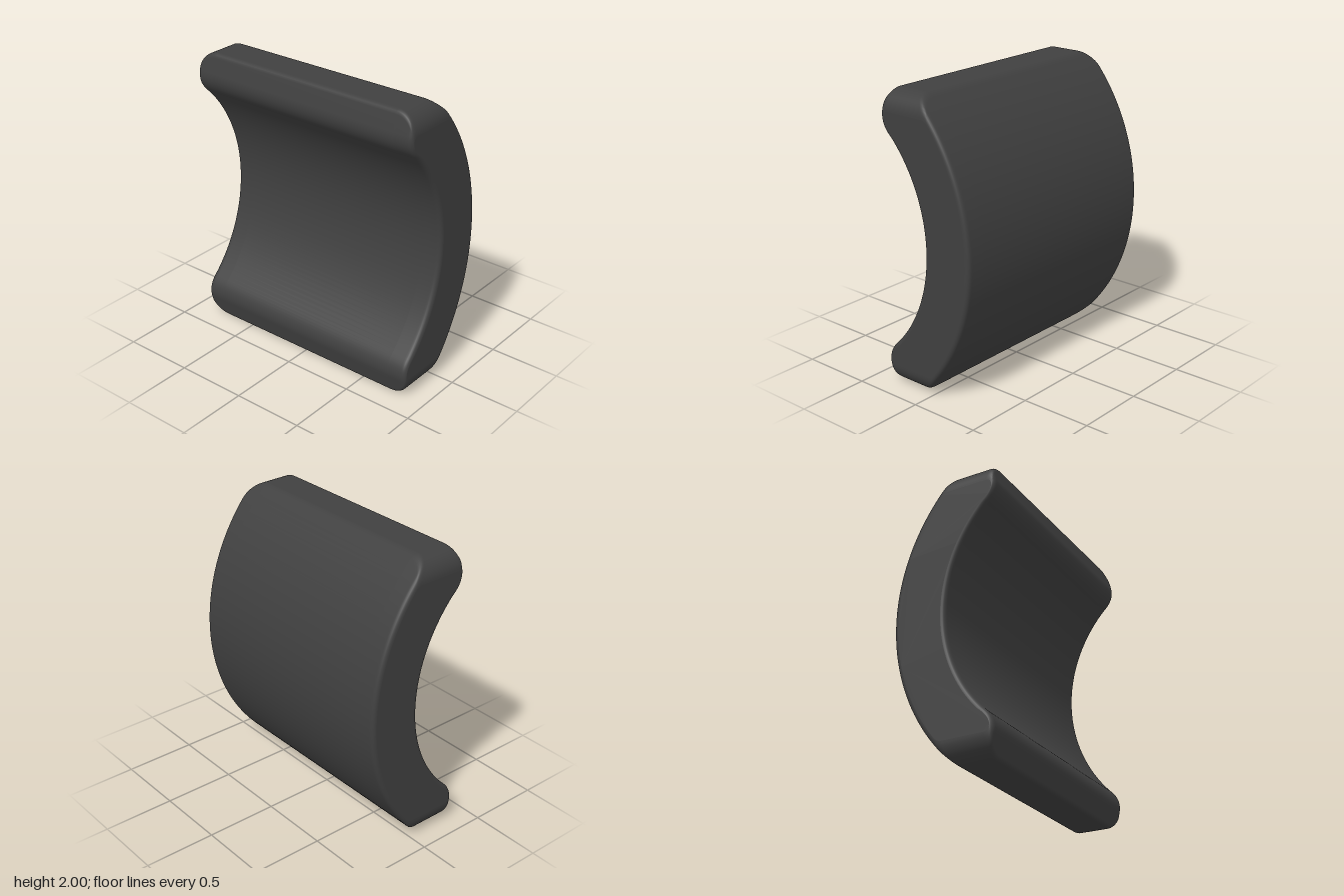
import * as THREE from 'three';

const CX = -1.016, R_OUT = 1.376, R_IN = 1.006; // concentric arcs
const HALF_LEN = 0.87, CORNER = 0.14, FILLET = 0.03, EDGE = 0.03;

const arcX = (r, y) => CX + Math.sqrt(r * r - y * y);

// Points of a quadratic bend, ends included
const bend = (a, b, c, n) => new THREE.QuadraticBezierCurve(
  new THREE.Vector2(...a), new THREE.Vector2(...b), new THREE.Vector2(...c)).getPoints(n);

// Arc from height y0 to y1, last point left out
function arc(r, y0, y1, n) {
  const a0 = Math.asin(y0 / r), a1 = Math.asin(y1 / r);
  return Array.from({ length: n }, (_, i) => {
    const a = a0 + (a1 - a0) * i / n;
    return new THREE.Vector2(CX + r * Math.cos(a), r * Math.sin(a));
  });
}

// Closed cross-section with half height h, its sides drawn in by d
function section(h, d) {
  const ro = R_OUT - d, ri = R_IN + d;
  const tipX = y => -0.328 - 0.23 * (1 - y) + d;
  const low = h - EDGE, lip = Math.min(0.868, low - 0.001);
  const top = [
    ...arc(ro, 0, low, 28),
    ...bend([arcX(ro, low), low], [arcX(ro, h), h], [arcX(ro, h) - EDGE, h], 5),
    ...bend([tipX(h) + EDGE, h], [tipX(h), h], [tipX(low), low], 5),
    ...bend([tipX(lip), lip], [tipX(0.775), 0.775], [arcX(ri, 0.7), 0.7], 10),
    ...arc(ri, 0.7, 0, 24).slice(1),
    new THREE.Vector2(CX + ri, 0),
  ];
  const bottom = top.slice(1, -1).reverse().map(p => new THREE.Vector2(p.x, -p.y));
  return [...top, ...bottom];
}

// Sections along z, crowded towards both ends for the rounding
function segmentGeometry() {
  const steps = 14, ends = [];
  for (let i = 0; i <= steps; i++) {
    const a = Math.PI / 2 * i / steps;
    const t = CORNER * (1 - Math.cos(a));
    const k = Math.max(0, FILLET - t);
    ends.push({
      z: HALF_LEN - t,
      ring: section(1 - CORNER * (1 - Math.sin(a)), FILLET - Math.sqrt(FILLET * FILLET - k * k)),
    });
  }
  const rows = [...ends.map(e => ({ z: -e.z, ring: e.ring })), ...ends.slice().reverse()];
  const n = ends[0].ring.length, pos = [], idx = [];
  for (const { z, ring } of rows) for (const p of ring) pos.push(p.x, p.y + 1, z);
  for (let i = 0; i < rows.length - 1; i++) {
    for (let j = 0; j < n; j++) {
      const a = i * n + j, b = i * n + (j + 1) % n;
      idx.push(a, b, b + n, a, b + n, a + n);
    }
  }
  // Flat end faces, with their own vertices
  const tris = THREE.ShapeUtils.triangulateShape(ends[0].ring.slice(), []);
  for (const s of [-1, 1]) {
    const base = pos.length / 3;
    for (const p of ends[0].ring) pos.push(p.x, p.y + 1, s * HALF_LEN);
    for (const [a, b, c] of tris) {
      if (s > 0) idx.push(base + a, base + b, base + c);
      else idx.push(base + a, base + c, base + b);
    }
  }
  const g = new THREE.BufferGeometry();
  g.setAttribute('position', new THREE.Float32BufferAttribute(pos, 3));
  g.setIndex(idx);
  g.computeVertexNormals();
  return g;
}

export function createModel() {
  const group = new THREE.Group();
  group.name = 'arcSegment';
  const body = new THREE.Mesh(segmentGeometry(), new THREE.MeshStandardMaterial({ color: 0x404040 }));
  body.name = 'curvedBlock';
  group.add(body);
  return group;
}
